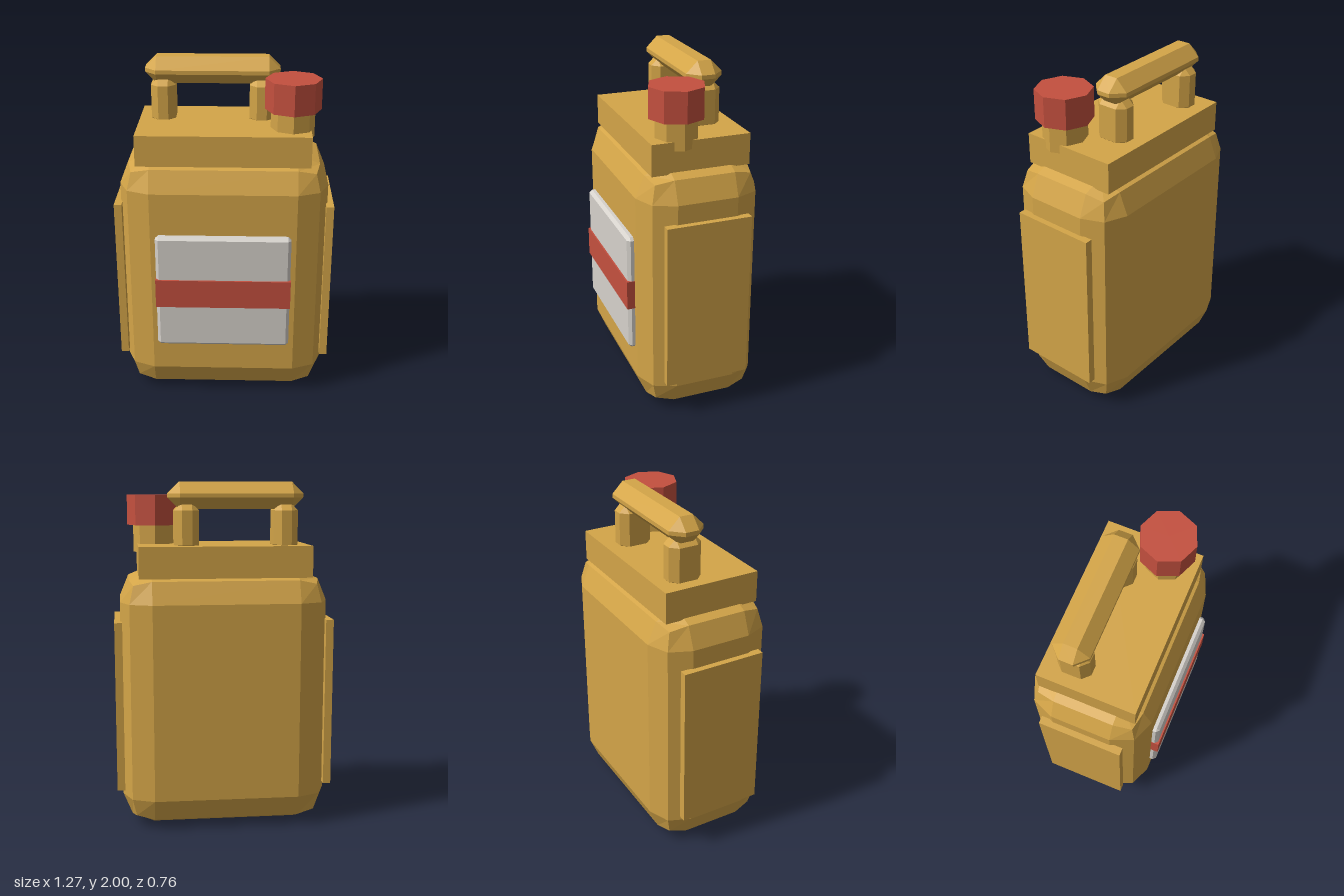
import * as THREE from 'three';
import { RoundedBoxGeometry } from 'three/addons/geometries/RoundedBoxGeometry.js';
import { ConvexGeometry } from 'three/addons/geometries/ConvexGeometry.js';

const paint = (color) => new THREE.MeshStandardMaterial({ color, flatShading: true });

// Box with every edge and corner cut by c
function chamferBox(w, h, d, c) {
  const points = [];
  for (const sx of [-1, 1]) for (const sy of [-1, 1]) for (const sz of [-1, 1]) {
    const x = w / 2, y = h / 2, z = d / 2;
    points.push(
      new THREE.Vector3(sx * x, sy * (y - c), sz * (z - c)),
      new THREE.Vector3(sx * (x - c), sy * y, sz * (z - c)),
      new THREE.Vector3(sx * (x - c), sy * (y - c), sz * z));
  }
  return new ConvexGeometry(points);
}

export function createModel() {
  const model = new THREE.Group();
  model.name = 'fuelCanister';
  const yellow = paint(0xd4a548);
  const red = paint(0xc4503f);
  const pale = paint(0xd6d2cc);

  const add = (name, geometry, material, x, y, z) => {
    const mesh = new THREE.Mesh(geometry, material);
    mesh.name = name;
    mesh.position.set(x, y, z);
    model.add(mesh);
  };

  // Tank with two-step rounded edges, and the block on top of it
  add('body', new RoundedBoxGeometry(1.2, 1.5, 0.71, 1, 0.18), yellow, 0, 0.75, -0.025);
  add('shoulderBlock', new THREE.BoxGeometry(0.99, 0.18, 0.57), yellow, -0.003, 1.55, -0.025);

  // Raised side panels
  for (const [name, side] of [['leftPanel', 1], ['rightPanel', -1]]) {
    add(name, new THREE.BoxGeometry(0.045, 0.99, 0.495), yellow, side * 0.612, 0.715, -0.023);
  }

  // Front label with its stripe
  add('label', chamferBox(0.78, 0.71, 0.07, 0.018), pale, 0, 0.715, 0.333);
  add('labelStripe', new THREE.BoxGeometry(0.785, 0.175, 0.07), red, 0, 0.713, 0.342);

  // Carrying handle on two posts
  add('handleBar', chamferBox(0.78, 0.155, 0.21, 0.066), yellow, -0.072, 1.922, -0.132);
  for (const [name, x] of [['leftHandlePost', 0.213], ['rightHandlePost', -0.358]]) {
    add(name, chamferBox(0.142, 0.28, 0.195, 0.042), yellow, x, 1.74, -0.133);
  }

  // Octagonal filler neck and cap
  add('neck', new THREE.CylinderGeometry(0.125, 0.125, 0.18, 8), yellow, 0.388, 1.68, 0.081);
  add('cap', new THREE.CylinderGeometry(0.16, 0.16, 0.175, 8), red, 0.388, 1.837, 0.081);

  return model;
}
